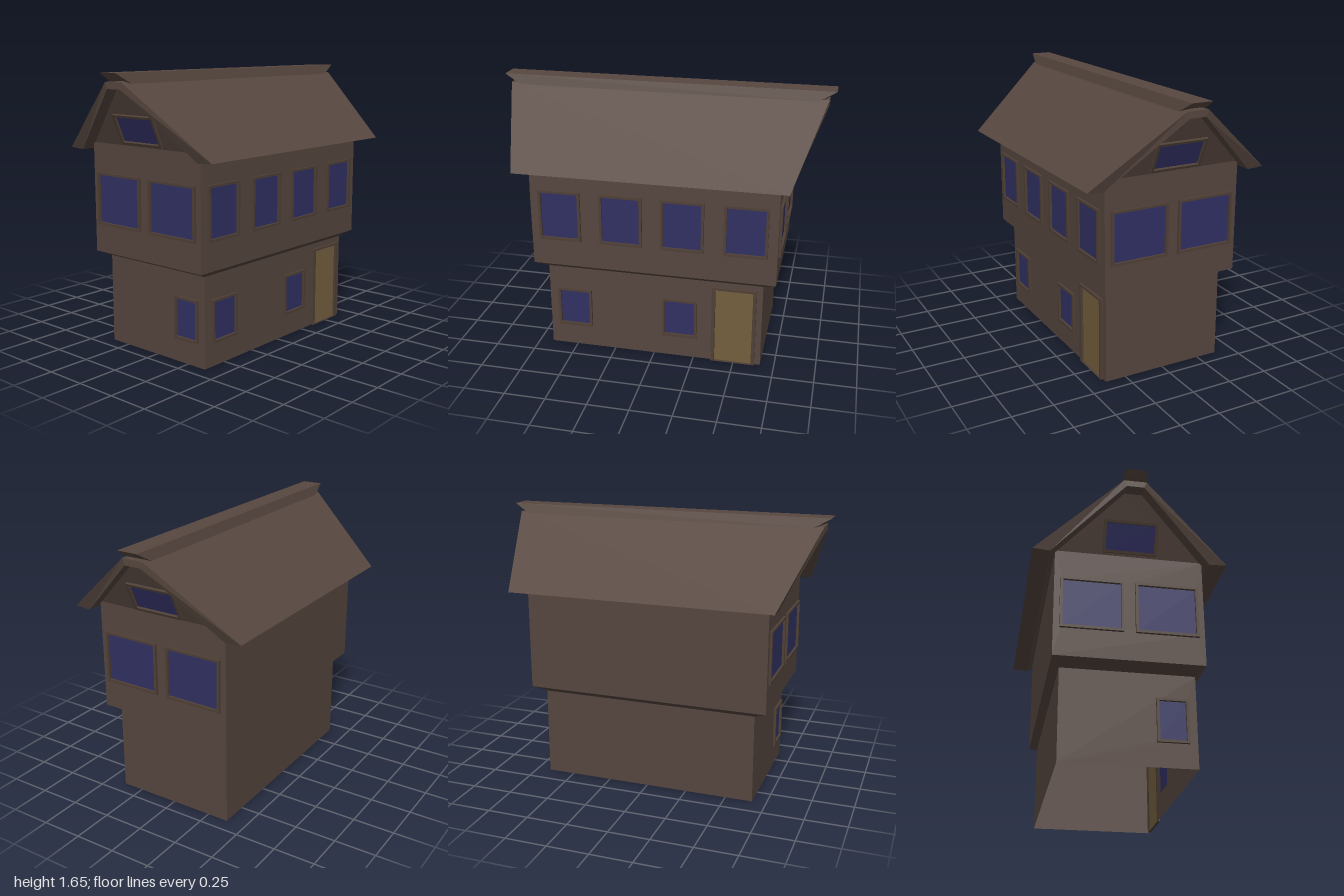
import * as THREE from 'three';

const mat = (name, color, side = THREE.FrontSide) => {
  const m = new THREE.MeshStandardMaterial({ color, side });
  m.name = name;
  return m;
};

// Flat-shaded geometry from polygons given as lists of corner points
function facesGeometry(polys) {
  const pos = [];
  for (const p of polys)
    for (let i = 1; i < p.length - 1; i++) pos.push(...p[0], ...p[i], ...p[i + 1]);
  const g = new THREE.BufferGeometry();
  g.setAttribute('position', new THREE.Float32BufferAttribute(pos, 3));
  g.computeVertexNormals();
  return g;
}

// Beam along x; each profile point is [z, y, halfLength], so the ends may slant
function slantedBeam(profile, endFaces) {
  const at = (i, s) => [s * profile[i][2], profile[i][1], profile[i][0]];
  const polys = profile.map((_, i) => {
    const j = (i + 1) % profile.length;
    return [at(i, 1), at(j, 1), at(j, -1), at(i, -1)];
  });
  for (const f of endFaces) {
    polys.push(f.map(i => at(i, -1)));
    polys.push([...f].reverse().map(i => at(i, 1)));
  }
  return facesGeometry(polys);
}

function polygon(points, Type = THREE.Shape) {
  return new Type(points.map(([x, y]) => new THREE.Vector2(x, y)));
}
const rect = (a, b, c, d) => [[a, b], [c, b], [c, d], [a, d]];

export function createModel() {
  const model = new THREE.Group();
  model.name = 'house';
  const wallMat = mat('wall brown', 0x56463f, THREE.DoubleSide);
  const roofMat = mat('roof brown', 0x57473f);
  const frameMat = mat('frame brown', 0x4f4036);
  const glassMat = mat('window blue', 0x313063, THREE.DoubleSide);
  const doorMat = mat('door ochre', 0x745f3e, THREE.DoubleSide);

  const add = (parent, name, geometry, material) => {
    const mesh = new THREE.Mesh(geometry, material);
    mesh.name = name;
    parent.add(mesh);
    return mesh;
  };

  // Wall panel with framed openings [u0, v0, u1, v1], in its own plane
  function wall(name, outline, openings, turn, distance, y = 0, lean = 0) {
    const group = new THREE.Group();
    group.name = name;
    const shape = polygon(outline);
    for (const [a, b, c, d, isDoor] of openings) {
      const inset = isDoor ? 0.021 : 0.016;
      const inner = rect(a + inset, isDoor ? 0.002 : b + inset, c - inset, d - 0.014);
      shape.holes.push(polygon(inner, THREE.Path));
      const ring = polygon(rect(a, b, c, d));
      ring.holes.push(polygon(inner, THREE.Path));
      const kind = isDoor ? 'door' : 'window';
      add(group, kind + 'Frame',
        new THREE.ExtrudeGeometry(ring, { depth: 0.015, bevelEnabled: false }), frameMat);
      add(group, isDoor ? 'doorPanel' : 'windowGlass',
        new THREE.ShapeGeometry(polygon(inner)), isDoor ? doorMat : glassMat);
    }
    add(group, name + 'Panel', new THREE.ShapeGeometry(shape), wallMat);
    group.rotation.order = 'YXZ';
    group.rotation.set(lean, turn, 0);
    group.position.set(Math.sin(turn) * distance, y, Math.cos(turn) * distance);
    model.add(group);
  }

  const Q = Math.PI / 2;
  const low = { x: 0.665, z: 0.38, top: 0.54 };
  const up = { x: 0.742, z: 0.427, base: 0.575, top: 1.235 };

  // Ground floor
  const lowLong = rect(-low.x, 0, low.x, low.top);
  const lowShort = rect(-low.z, 0, low.z, low.top);
  wall('lowerFrontWall', lowLong, [
    [-0.61, 0.14, -0.395, 0.395], [0.055, 0.14, 0.27, 0.395], [0.36, 0, 0.63, 0.505, true],
  ], 0, low.z);
  wall('lowerBackWall', lowLong, [], Math.PI, low.z);
  wall('lowerLeftWall', lowShort, [], Q, low.x);
  wall('lowerRightWall', lowShort, [[0.155, 0.14, 0.335, 0.395]], -Q, low.x);

  // Sloping overhang between the floors
  const corners = [[1, 1], [1, -1], [-1, -1], [-1, 1]];
  const ring = (s, y) => corners.map(([x, z]) => [x * s.x, y, z * s.z]);
  const r0 = ring(low, low.top), r1 = ring(up, up.base);
  add(model, 'overhang', facesGeometry(corners.map((_, i) => {
    const j = (i + 1) % 4;
    return [r0[i], r0[j], r1[j], r1[i]];
  })), wallMat);

  // Upper floor
  const upLong = rect(-up.x, up.base, up.x, up.top);
  const upShort = rect(-up.z, up.base, up.z, up.top);
  wall('upperFrontWall', upLong,
    [-0.562, -0.187, 0.183, 0.557].map(c => [c - 0.129, 0.745, c + 0.129, 1.06]), 0, up.z);
  wall('upperBackWall', upLong, [], Math.PI, up.z);

  // Upper side walls and the gables that lean outwards above them
  const lean = Math.atan(0.44), k = 1 / Math.cos(lean);
  const gable = [[-up.z, 0], [up.z, 0], [0.05, 0.335 * k], [-0.05, 0.335 * k]];
  for (const [side, turn] of [['Left', Q], ['Right', -Q]]) {
    wall(`upper${side}Wall`, upShort,
      [[-0.393, 0.745, -0.033, 1.06], [0.033, 0.745, 0.393, 1.06]], turn, up.x);
    wall(`gable${side}`, gable, [[-0.158, 0.013 * k, 0.158, 0.185 * k]], turn, up.x, up.top, lean);
  }

  // Roof with slanted verges
  add(model, 'roof', slantedBeam([
    [0.56, 1.2, 0.8], [0.065, 1.605, 0.96], [-0.065, 1.605, 0.96], [-0.56, 1.2, 0.8],
    [-0.46, 1.193, 0.8], [-0.05, 1.567, 0.96], [0.05, 1.567, 0.96], [0.46, 1.193, 0.8],
  ], [[0, 1, 6, 7], [1, 2, 5, 6], [2, 3, 4, 5]]), roofMat);

  // Ridge cap
  add(model, 'ridgeCap', slantedBeam([
    [0.063, 1.655, 1], [-0.063, 1.655, 1], [-0.08, 1.597, 0.9],
    [-0.045, 1.62, 0.96], [0.045, 1.62, 0.96], [0.08, 1.597, 0.9],
  ], [[0, 1, 3, 4], [1, 2, 3], [0, 4, 5]]), roofMat);

  return model;
}
